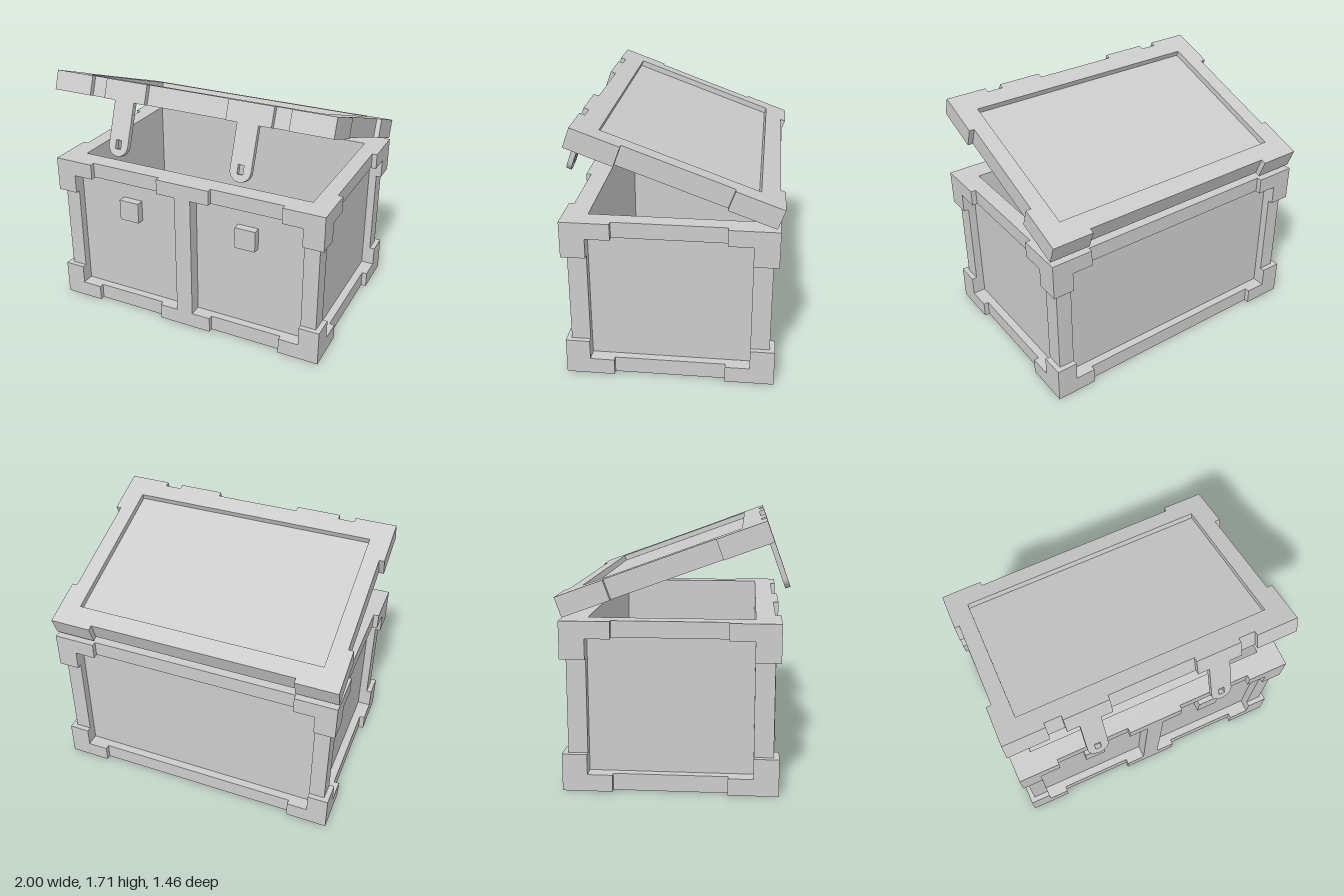
import * as THREE from 'three';

const material = new THREE.MeshStandardMaterial({ color: 0xcccccc, flatShading: true });

// Half sizes in x and z: bracket face, frame face, recessed panel, inner edge, bracket arm start
const X = { out: 1, frame: 0.965, panel: 0.91, inner: 0.857, arm: 0.715 };
const Z = { out: 0.685, frame: 0.65, panel: 0.595, inner: 0.525, arm: 0.365 };
const H = 1.1, RAIL = 0.11, ARM_H = 0.243, LID_H = 0.133;

function add(parent, name, geometry) {
  const mesh = new THREE.Mesh(geometry, material);
  mesh.name = name;
  parent.add(mesh);
  return mesh;
}

// Box given by two opposite corners, in any order
function box(parent, name, [x0, y0, z0], [x1, y1, z1]) {
  const geometry = new THREE.BoxGeometry(Math.abs(x1 - x0), Math.abs(y1 - y0), Math.abs(z1 - z0));
  geometry.translate((x0 + x1) / 2, (y0 + y1) / 2, (z0 + z1) / 2);
  return add(parent, name, geometry);
}

// Rectangular ring of four rails between two heights
function rails(parent, name, y0, y1) {
  for (const s of [-1, 1]) {
    box(parent, name, [-X.frame, y0, s * Z.inner], [X.frame, y1, s * Z.frame]);
    box(parent, name, [s * X.inner, y0, -Z.inner], [s * X.frame, y1, Z.inner]);
  }
}

function eachCorner(fn) {
  for (const sx of [-1, 1]) for (const sz of [-1, 1]) fn(sx, sz);
}

function createBody() {
  const body = new THREE.Group();
  body.name = 'chestBody';
  body.position.z = -0.025;

  rails(body, 'bottomRail', 0, RAIL);
  rails(body, 'topRail', H - 0.105, H);
  box(body, 'floor', [-X.inner, 0, -Z.inner], [X.inner, 0.07, Z.inner]);

  // Recessed wall panels
  for (const s of [-1, 1]) {
    box(body, 'longPanel', [-X.inner, RAIL, s * Z.inner], [X.inner, H - 0.105, s * Z.panel]);
    box(body, 'endPanel', [s * X.inner, RAIL, -Z.inner], [s * X.panel, H - 0.105, Z.inner]);
  }

  // Corner posts with three-armed brackets at each end
  eachCorner((sx, sz) => {
    box(body, 'cornerPost', [sx * X.inner, RAIL, sz * Z.inner], [sx * X.frame, H - 0.105, sz * Z.frame]);
    for (const [base, dir] of [[0, 1], [H, -1]]) {
      const rail = base + dir * RAIL, tip = base + dir * ARM_H;
      box(body, 'cornerBracket', [sx * X.inner, base, sz * Z.inner], [sx * X.out, tip, sz * Z.out]);
      box(body, 'bracketArm', [sx * X.arm, base, sz * Z.inner], [sx * X.inner, rail, sz * Z.out]);
      box(body, 'bracketArm', [sx * X.inner, base, sz * Z.arm], [sx * X.out, rail, sz * Z.inner]);
    }
  });

  // Front centre strip with wide ends
  box(body, 'centreStrip', [-0.06, RAIL, Z.panel], [0.06, H - 0.105, Z.out]);
  box(body, 'centrePad', [-0.195, 0, Z.frame], [0.195, RAIL, Z.out]);
  box(body, 'centrePad', [-0.195, H - 0.105, Z.frame], [0.195, H, Z.out]);

  // Blocks that receive the straps
  for (const s of [-1, 1]) {
    box(body, 'latchBlock', [s * 0.37, 0.71, Z.panel], [s * 0.517, 0.86, Z.frame]);
  }
  return body;
}

// Hanging strap with a rounded end and a slot
function strapGeometry() {
  const r = 0.072, end = -0.292;
  const shape = new THREE.Shape();
  shape.moveTo(-r, 0);
  shape.lineTo(-r, end);
  shape.absarc(0, end, r, Math.PI, Math.PI * 2, false);
  shape.lineTo(r, 0);
  const slot = new THREE.Path();
  slot.moveTo(-0.02, -0.255);
  slot.lineTo(0.02, -0.255);
  slot.lineTo(0.02, -0.315);
  slot.lineTo(-0.02, -0.315);
  slot.closePath();
  shape.holes.push(slot);
  return new THREE.ExtrudeGeometry(shape, { depth: Z.out - Z.frame, bevelEnabled: false, curveSegments: 8 });
}

function createLid() {
  const lid = new THREE.Group();
  lid.name = 'lid';
  lid.position.set(0, 1.355, -0.041);
  lid.rotation.x = -THREE.MathUtils.degToRad(20);

  rails(lid, 'lidRail', 0, LID_H);
  box(lid, 'lidPanel', [-X.inner, 0.033, -Z.inner], [X.inner, 0.093, Z.inner]);

  // Corner brackets
  eachCorner((sx, sz) => {
    box(lid, 'lidBracket', [sx * X.arm, 0, sz * Z.inner], [sx * X.out, LID_H, sz * Z.out]);
    box(lid, 'lidBracketArm', [sx * X.inner, 0, sz * Z.arm], [sx * X.out, LID_H, sz * Z.inner]);
  });

  // Strap mounts and straps on the front edge
  for (const s of [-1, 1]) {
    box(lid, 'strapMount', [s * 0.293, 0, Z.frame], [s * 0.602, LID_H, Z.out]);
    add(lid, 'strap', strapGeometry()).position.set(s * 0.445, 0, Z.frame);
  }
  return lid;
}

export function createModel() {
  const model = new THREE.Group();
  model.name = 'chest';
  model.add(createBody(), createLid());
  return model;
}
